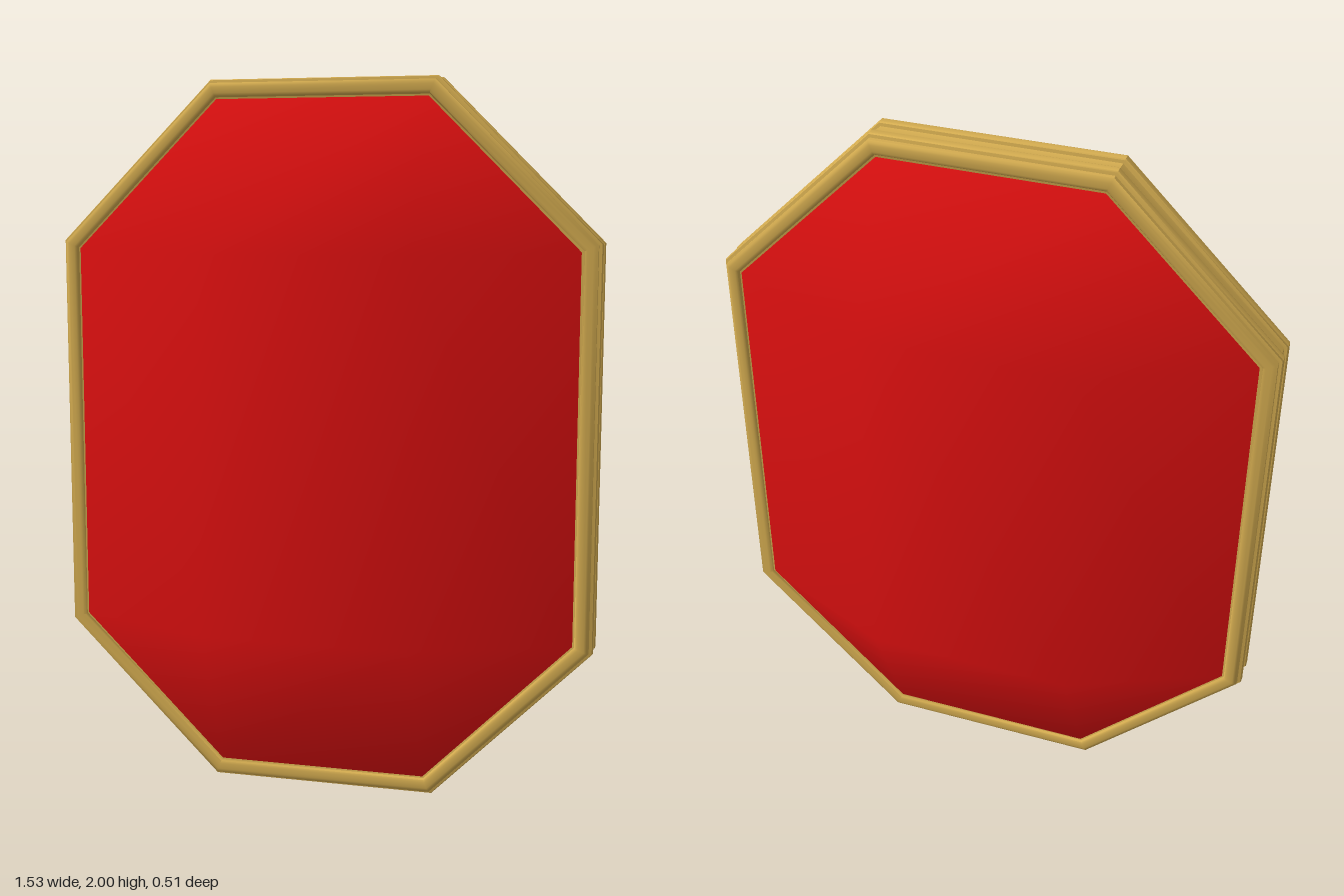
import * as THREE from 'three';
import { toCreasedNormals } from 'three/addons/utils/BufferGeometryUtils.js';

// Corners of the long octagon, counter-clockwise, moved inward by d
function octagon(d) {
  const x = 0.765 - d, y = 1 - d, cx = 0.32 - d * 0.414, cy = 0.558 - d * 0.414;
  return [[x, -cy], [x, cy], [cx, y], [-cx, y], [-x, cy], [-x, -cy], [-cx, -y], [cx, -y]];
}

function indexed(positions, index) {
  const g = new THREE.BufferGeometry();
  g.setAttribute('position', new THREE.Float32BufferAttribute(positions, 3));
  g.setIndex(index);
  g.computeVertexNormals();
  return g;
}

// Moulding profile [inset, z] swept round the octagon with mitred corners
function frameGeometry() {
  const half = [
    [0.01, 0.018], [0.002, 0.02], [0, 0.025], [0, 0.043], [0.002, 0.048], [0.01, 0.05],
    [0.01, 0.062], [0.015, 0.067], [0.022, 0.069], [0.038, 0.069], [0.045, 0.067],
    [0.049, 0.061], [0.064, 0.058],
  ];
  const profile = [...half.map(([d, z]) => [d, -z]).reverse(), ...half];
  const pos = [], idx = [], n = profile.length;
  for (const [d, z] of profile) for (const [x, y] of octagon(d)) pos.push(x, y, z);
  for (let j = 0; j < n; j++) {
    for (let i = 0; i < 8; i++) {
      const k = (i + 1) % 8, up = ((j + 1) % n) * 8;
      idx.push(j * 8 + i, j * 8 + k, up + k, j * 8 + i, up + k, up + i);
    }
  }
  return toCreasedNormals(indexed(pos, idx), 0.75);
}

// Half gem: octagonal rim sloping up to a flat rectangular table
function gemGeometry() {
  const pos = [], idx = [8, 9, 10, 8, 10, 11];
  for (const [x, y] of octagon(0.054)) pos.push(x, y, 0.062);
  for (const [x, y] of [[0.292, -0.528], [0.292, 0.528], [-0.292, 0.528], [-0.292, -0.528]]) {
    pos.push(x, y, 0.256);
  }
  for (let s = 0; s < 4; s++) {
    const a = s * 2, b = a + 1, c = (a + 2) % 8, t = 8 + s, u = 8 + (s + 1) % 4;
    idx.push(a, b, u, a, u, t); // straight side
    idx.push(b, c, u); // corner facet
  }
  return indexed(pos, idx);
}

export function createModel() {
  const model = new THREE.Group();
  model.name = 'framedGem';
  const gold = new THREE.MeshStandardMaterial({ color: 0xd4ac50 });
  const red = new THREE.MeshStandardMaterial({ color: 0xe01010 });

  const frame = new THREE.Mesh(frameGeometry(), gold);
  frame.name = 'frame';
  frame.position.y = 1;
  model.add(frame);

  // Same half gem on the front and, turned round, on the back
  const gem = gemGeometry();
  ['gemFront', 'gemBack'].forEach((name, i) => {
    const mesh = new THREE.Mesh(gem, red);
    mesh.name = name;
    mesh.position.y = 1;
    mesh.rotation.y = i * Math.PI;
    model.add(mesh);
  });
  return model;
}
